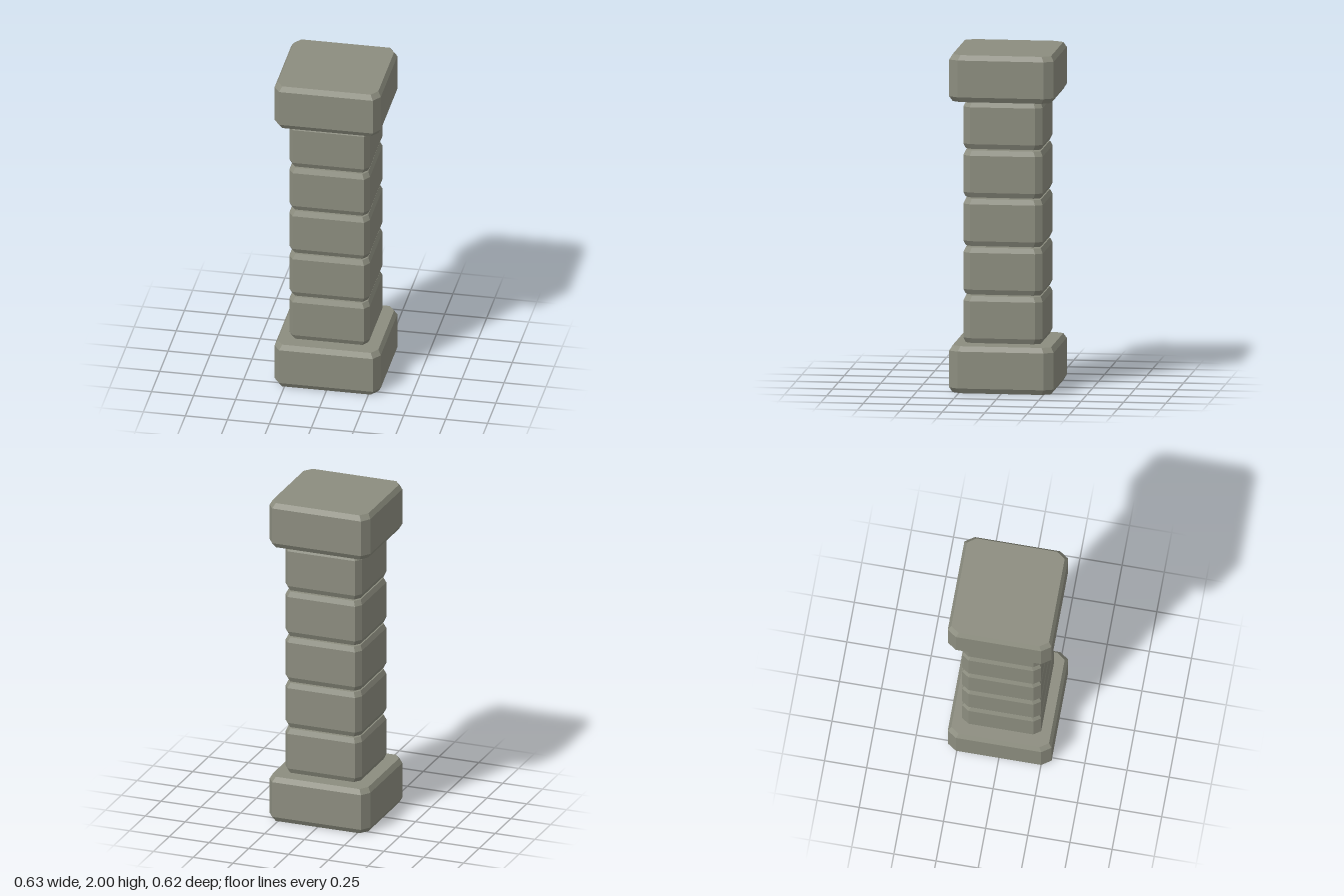
import * as THREE from 'three';

const HEIGHT = 0.278;  // height of every stone
const PITCH = 0.287;   // stone spacing, leaving a thin open joint
const BEVEL = 0.03;

// Eight-sided outline: rectangle with cut corners
function ring(hx, hz, cx, cz, y) {
  return [[hx, cz], [cx, hz], [-cx, hz], [-hx, cz], [-hx, -cz], [-cx, -hz], [cx, -hz], [hx, -cz]]
    .map(([x, z]) => [x, y, z]);
}

// Stone with cut corners and bevelled top and bottom edges
function stoneGeometry(scale) {
  const outer = [0.316, 0.308, 0.279, 0.253].map(v => v * scale);
  const inner = [0.299, 0.290, 0.263, 0.239].map(v => v * scale);
  const rings = [
    ring(...inner, 0),
    ring(...outer, BEVEL),
    ring(...outer, HEIGHT - BEVEL),
    ring(...inner, HEIGHT),
  ];
  const pos = [];
  const tri = (a, b, c) => pos.push(...a, ...b, ...c);
  for (let r = 0; r < 3; r++) {
    for (let i = 0; i < 8; i++) {
      const j = (i + 1) % 8;
      const a = rings[r][i], b = rings[r][j], c = rings[r + 1][j], d = rings[r + 1][i];
      tri(a, d, c);
      tri(a, c, b);
    }
  }
  // Flat bottom and top
  const bottom = rings[0], top = rings[3];
  for (let i = 1; i < 7; i++) {
    tri(bottom[0], bottom[i], bottom[i + 1]);
    tri(top[0], top[i + 1], top[i]);
  }
  const geometry = new THREE.BufferGeometry();
  geometry.setAttribute('position', new THREE.Float32BufferAttribute(pos, 3));
  geometry.computeVertexNormals();
  return geometry;
}

export function createModel() {
  const group = new THREE.Group();
  group.name = 'stonePillar';
  const stone = new THREE.MeshStandardMaterial({ color: 0x8c8d7f });
  stone.name = 'greyStone';

  const wide = stoneGeometry(1);
  const narrow = stoneGeometry(0.76);

  // Base, five shaft blocks and capital
  for (let i = 0; i < 7; i++) {
    const end = i === 0 || i === 6;
    const mesh = new THREE.Mesh(end ? wide : narrow, stone);
    mesh.name = i === 0 ? 'base' : i === 6 ? 'capital' : `shaftBlock${i}`;
    mesh.position.y = i * PITCH;
    group.add(mesh);
  }
  return group;
}
